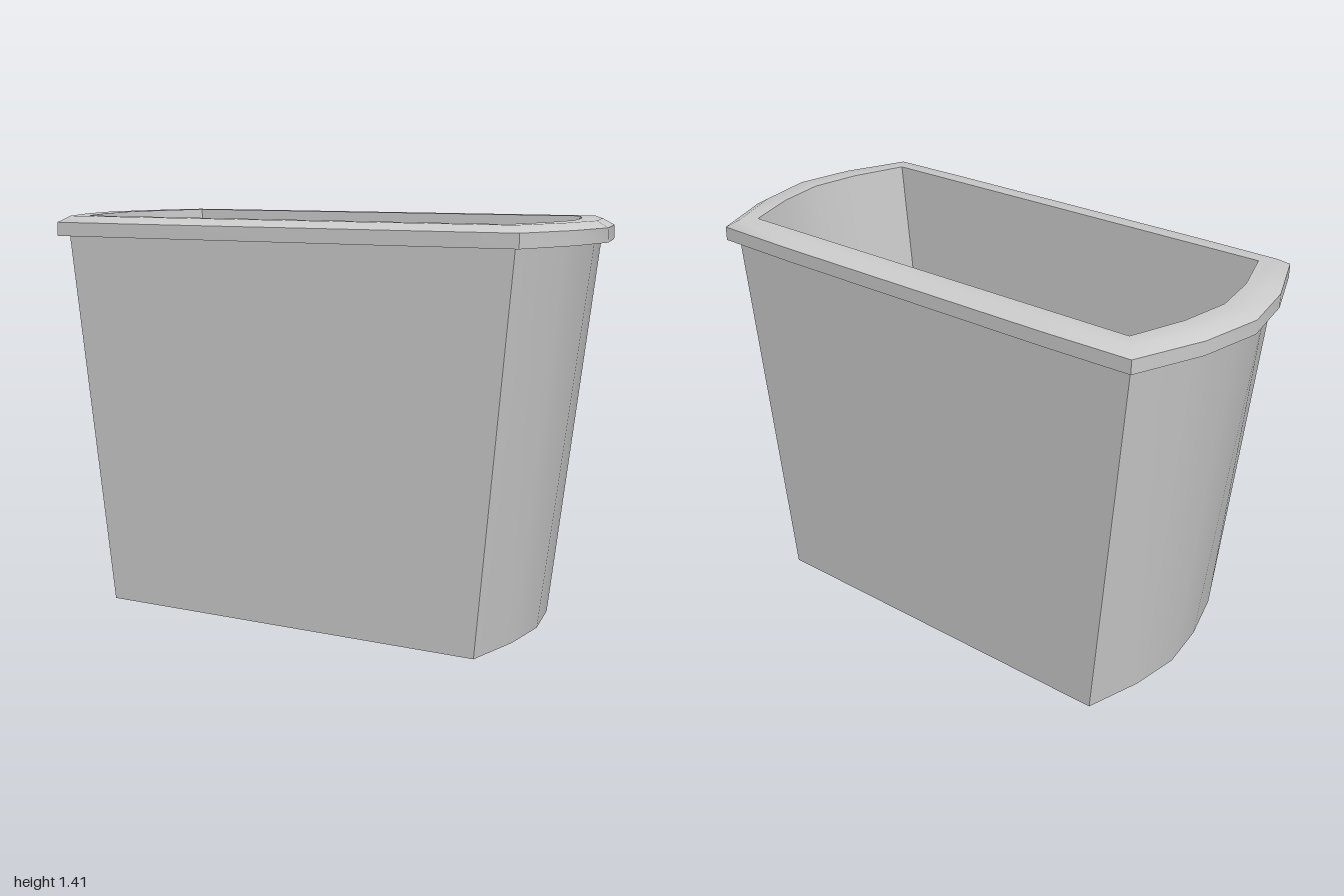
import * as THREE from 'three';
import { toCreasedNormals } from 'three/addons/utils/BufferGeometryUtils.js';

const material = new THREE.MeshStandardMaterial({ color: 0xcccccc });

// Outline with bowed ends: corner x, tip x, half depth z, height y, slight bow of the long sides.
function ring(corner, tip, z, y, bow = 0) {
  const mid = corner + (tip - corner) * 0.7;
  const quarter = [[tip, 0], [mid, z * 0.48], [corner, z], [corner * 0.63, z + bow]];
  const half = [...quarter, ...quarter.slice(1).reverse().map(([x, d]) => [-x, d])];
  const rest = [[-tip, 0], ...half.slice(1).reverse().map(([x, d]) => [x, -d])];
  return [...half, ...rest].map(([x, d]) => new THREE.Vector3(x, y, d));
}

// Skin between successive outlines
function loft(name, rings) {
  const points = [];
  for (let i = 0; i < rings.length - 1; i++) {
    const low = rings[i], high = rings[i + 1];
    low.forEach((a, j) => {
      const k = (j + 1) % low.length;
      points.push(a, high[j], high[k], a, high[k], low[k]);
    });
  }
  const geometry = new THREE.BufferGeometry().setFromPoints(points);
  const mesh = new THREE.Mesh(toCreasedNormals(geometry, 0.6), material);
  mesh.name = name;
  return mesh;
}

// Flat plate filling an outline, facing up or down
function plate(name, outline, up) {
  const side = up ? -1 : 1;
  const shape = new THREE.Shape(outline.map((p) => new THREE.Vector2(p.x, side * p.z)));
  const geometry = new THREE.ShapeGeometry(shape);
  geometry.rotateX(side * Math.PI / 2);
  geometry.translate(0, outline[0].y, 0);
  const mesh = new THREE.Mesh(geometry, material);
  mesh.name = name;
  return mesh;
}

export function createModel() {
  const base = ring(0.71, 0.795, 0.39, 0);
  const wallTop = ring(0.835, 0.955, 0.43, 1.34);
  const mouth = ring(0.79, 0.885, 0.377, 1.41);
  const floor = ring(0.65, 0.725, 0.375, 0.04);

  const model = new THREE.Group();
  model.name = 'wasteBin';
  model.add(
    loft('outerWall', [base, wallTop]),
    // Overhanging rim with a bevelled upper edge
    loft('rim', [
      wallTop,
      ring(0.86, 1, 0.468, 1.34, 0.007),
      ring(0.86, 1, 0.468, 1.388, 0.007),
      ring(0.83, 0.96, 0.43, 1.41, 0.004),
      mouth,
    ]),
    loft('innerWall', [mouth, floor]),
    plate('floor', floor, true),
    plate('base', base, false),
  );
  return model;
}
